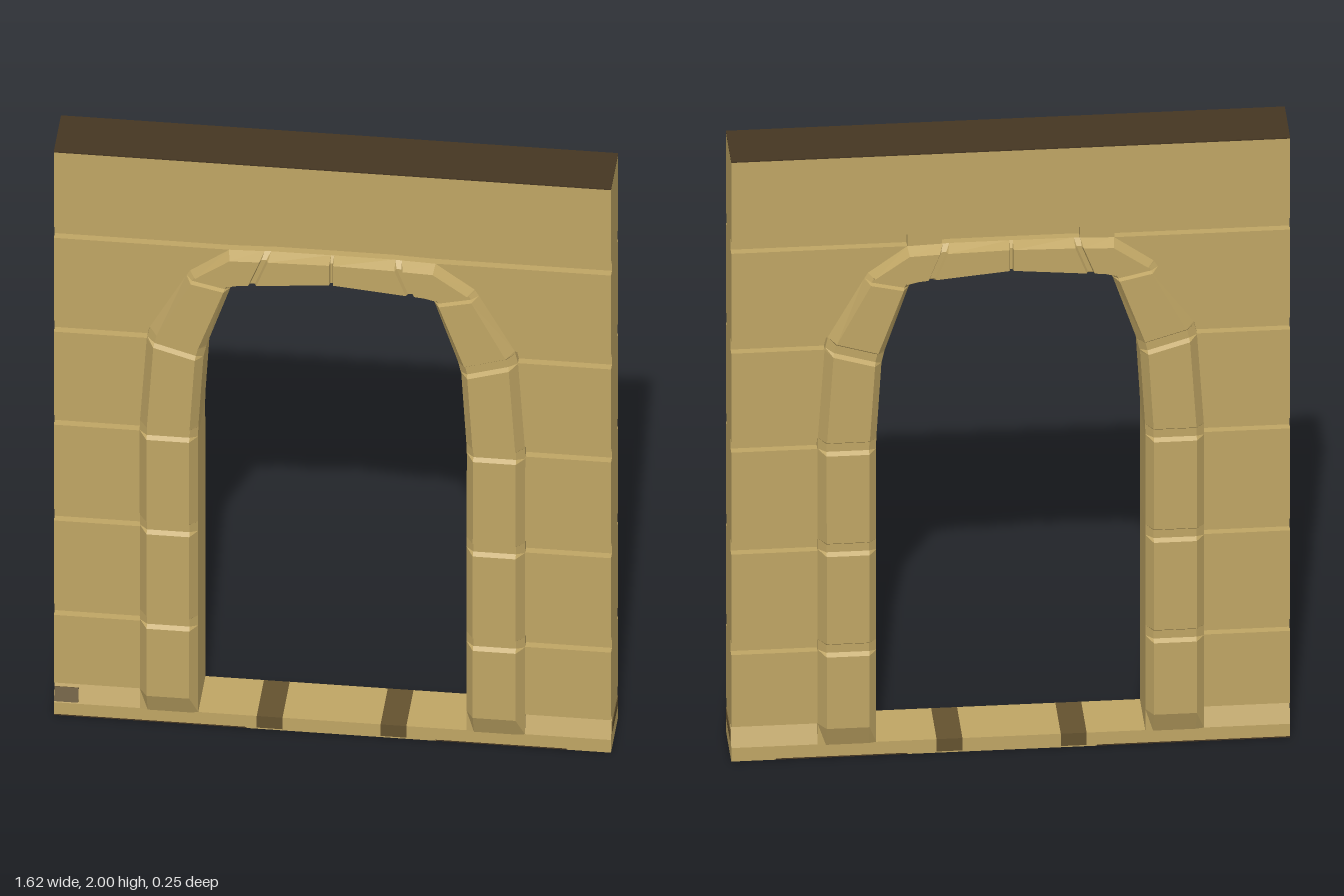
import * as THREE from 'three';

export function createModel() {
  const group = new THREE.Group();
  const sand = new THREE.MeshStandardMaterial({ name: 'sandstone', color: 0xbfa564, flatShading: true });
  const dark = new THREE.MeshStandardMaterial({ name: 'dark brown', color: 0x453622, flatShading: true });
  const brown = new THREE.MeshStandardMaterial({ name: 'shadow brown', color: 0x64522f, flatShading: true });

  const add = (name, geometry, material) => {
    const mesh = new THREE.Mesh(geometry, material);
    mesh.name = name;
    group.add(mesh);
    return mesh;
  };
  // box given by its limits
  const block = (name, x0, x1, y0, y1, z0, z1, material = sand) =>
    add(name, new THREE.BoxGeometry(x1 - x0, y1 - y0, z1 - z0), material)
      .position.set((x0 + x1) / 2, (y0 + y1) / 2, (z0 + z1) / 2);
  const outline = (points) => new THREE.Shape(points.map(([x, y]) => new THREE.Vector2(x, y)));
  // flat outline extruded between two z values
  const slab = (name, points, z0, z1) => {
    const geometry = new THREE.ExtrudeGeometry(outline(points), { depth: z1 - z0, bevelEnabled: false });
    add(name, geometry.translate(0, 0, z0), sand);
  };

  const W = 0.81, FACE = 0.09, CORE = 0.066, SILL = 0.045;

  // Wall core, recessed behind the stone courses, with the arched opening
  const coreEdge = [[W, SILL], [0.45, SILL], [0.45, 1.35], [0.36, 1.58], [0.27, 1.63]];
  slab('wallCore', [
    [-W, 1.99], [-W, SILL], ...coreEdge.slice(1).map(([x, y]) => [-x, y]),
    [0, 1.65], ...coreEdge.slice(1).reverse(), [W, SILL], [W, 1.99],
  ], -CORE, CORE);

  // Stone courses on both faces
  const courses = [[0.115, 0.355], [0.395, 0.69], [0.73, 1.03], [1.065, 1.36]];
  for (const s of [-1, 1]) {
    const z0 = s > 0 ? CORE : -FACE, z1 = s > 0 ? FACE : -CORE;
    for (const m of [-1, 1]) {
      for (const [y0, y1] of courses) {
        block('stoneCourse', m > 0 ? 0.46 : -W, m > 0 ? W : -0.46, y0, y1, z0, z1);
      }
      const shoulder = [[0.46, 1.4], [W, 1.4], [W, 1.693], [0.27, 1.693], [0.37, 1.6]];
      slab('archShoulder', shoulder.map(([x, y]) => [m * x, y]), z0, z1);
      // bridges across the top groove at the back
      if (s < 0) block('grooveBridge', m > 0 ? 0.2 : -0.3, m > 0 ? 0.3 : -0.2, 1.69, 1.735, z0, z1);
    }
    block('topCourse', -W, W, 1.732, 1.99, z0, z1);
  }
  block('topCap', -W, W, 1.99, 1.996, -FACE, FACE);
  block('topSurface', -W, W, 1.996, 2, -FACE, FACE, dark);

  // Sloping plinth beside the opening
  for (const m of [-1, 1]) {
    const geometry = new THREE.ExtrudeGeometry(
      outline([[-FACE, SILL], [FACE, SILL], [CORE, 0.115], [-CORE, 0.115]]),
      { depth: W - 0.45, bevelEnabled: false });
    geometry.rotateY(Math.PI / 2).translate(m > 0 ? 0.45 : -W, 0, 0);
    add('plinth', geometry, sand);
  }

  // Sill with two stained strips
  const cuts = [-W, -0.22, -0.145, 0.14, 0.215, W];
  for (let i = 0; i < 5; i++) {
    block('sill', cuts[i], cuts[i + 1], 0.004, SILL, -FACE, FACE, i % 2 ? brown : sand);
  }
  // Underside stains
  const under = [[-W, -0.25, dark], [-0.25, 0.3, sand], [0.3, 0.68, dark], [0.68, W, sand]];
  for (const [x0, x1, material] of under) block('sillUnderside', x0, x1, 0, 0.004, -FACE, FACE, material);
  // Stains on the plinth
  block('sideStain', W, W + 0.002, 0.058, 0.09, -0.07, 0.07, brown);
  const stain = add('plinthStain', new THREE.BoxGeometry(0.07, 0.045, 0.003), brown);
  stain.position.set(-0.774, 0.071, 0.083);
  stain.rotation.x = -Math.atan2(FACE - CORE, 0.07);

  // Arch surround: inner x, inner y, outer x, outer y, face z, half width of joint
  const keys = [
    [0.39, SILL, 0.56, SILL, 0.095, 0],
    [0.39, 0.115, 0.56, 0.115, 0.125, 0],
    [0.39, 0.375, 0.56, 0.375, 0.125, 0.022],
    [0.39, 0.71, 0.56, 0.71, 0.125, 0.022],
    [0.39, 1.045, 0.56, 1.045, 0.125, 0.022],
    [0.37, 1.33, 0.535, 1.38, 0.125, 0.022],
    [0.29, 1.57, 0.42, 1.6, 0.125, 0.012],
    [0.268, 1.576, 0.3, 1.693, 0.125, 0],
    [0.235, 1.58, 0.19, 1.697, 0.125, 0.012],
    [0, 1.603, 0, 1.698, 0.125, 0.006],
  ];
  const mirrored = keys.slice(0, -1).reverse().map(([a, b, c, d, z, h]) => [-a, b, -c, d, z, h]);
  const path = [...keys, ...mirrored];

  // Each joint becomes a shallow groove made of four sections
  const sections = [];
  path.forEach(([ix, iy, ox, oy, z, h], i) => {
    const steps = h ? [[-h, z], [-h * 0.6, z - 0.013], [h * 0.6, z - 0.013], [h, z]] : [[0, z]];
    const p = path[Math.max(i - 1, 0)], n = path[Math.min(i + 1, path.length - 1)];
    const t = new THREE.Vector2(n[0] + n[2] - p[0] - p[2], n[1] + n[3] - p[1] - p[3]).normalize();
    for (const [d, fz] of steps) {
      const at = (f, pz) => [ix + (ox - ix) * f + t.x * d, iy + (oy - iy) * f + t.y * d, pz];
      sections.push([
        at(0, FACE), at(0.13, fz), at(0.86, fz), at(1, FACE),
        at(1, -FACE), at(0.86, -fz), at(0.13, -fz), at(0, -FACE),
      ]);
    }
  });
  const positions = [];
  for (let i = 0; i < sections.length - 1; i++) {
    for (let k = 0; k < 8; k++) {
      const j = (k + 1) % 8;
      const a = sections[i][k], b = sections[i][j], c = sections[i + 1][j], d = sections[i + 1][k];
      positions.push(...a, ...b, ...d, ...b, ...c, ...d);
    }
  }
  const arch = new THREE.BufferGeometry();
  arch.setAttribute('position', new THREE.Float32BufferAttribute(positions, 3));
  arch.computeVertexNormals();
  add('archSurround', arch, sand);

  return group;
}
